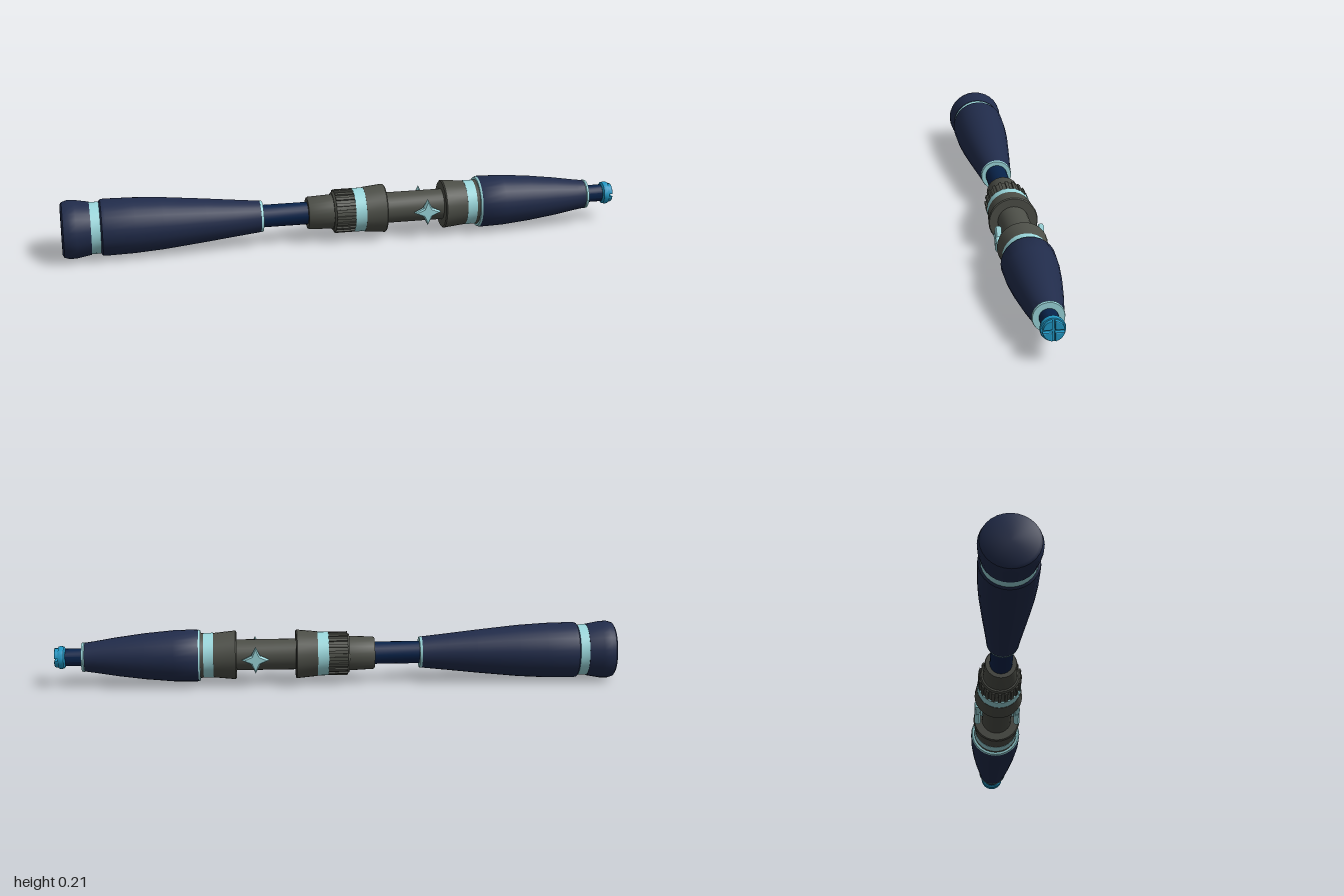
import * as THREE from 'three';
import { toCreasedNormals } from 'three/addons/utils/BufferGeometryUtils.js';

const AXIS_Y = 0.104;

function paint(name, color) {
  const m = new THREE.MeshStandardMaterial({ color });
  m.name = name;
  return m;
}

export function createModel() {
  const navy = paint('navy grip', 0x212c4b);
  const deepBlue = paint('deep blue rod', 0x08234a);
  const grey = paint('grey metal', 0x4d4f48);
  const pale = paint('pale aqua trim', 0x9bd8dd);
  const cyan = paint('bright cyan tip', 0x1f97c4);

  const root = new THREE.Group();
  const shaft = new THREE.Group();
  shaft.name = 'shaft';
  shaft.position.y = AXIS_Y;
  root.add(shaft);

  function add(name, geometry, material, parent = shaft) {
    const mesh = new THREE.Mesh(geometry, material);
    mesh.name = name;
    parent.add(mesh);
    return mesh;
  }

  // Closed body of revolution along x from [x, radius] pairs
  function turned(name, material, profile, segments = 28) {
    const first = profile[0][0];
    const last = profile[profile.length - 1][0];
    const points = [[first, 0], ...profile, [last, 0]].map(([x, r]) => new THREE.Vector2(r, x));
    const g = new THREE.LatheGeometry(points, segments).rotateZ(-Math.PI / 2);
    return add(name, toCreasedNormals(g, 0.6), material);
  }

  // Long handle with pommel
  turned('pommel', navy, [[-1, 0.088], [-0.994, 0.097], [-0.975, 0.103], [-0.95, 0.102], [-0.9, 0.093]]);
  turned('pommelBand', pale, [[-0.9, 0.091], [-0.865, 0.091]]);
  turned('longGrip', navy, [[-0.868, 0.09], [-0.862, 0.098], [-0.85, 0.1], [-0.75, 0.098], [-0.65, 0.092],
    [-0.5, 0.077], [-0.4, 0.066], [-0.305, 0.056]]);
  turned('longGripRing', pale, [[-0.305, 0.057], [-0.296, 0.055]]);

  // Inner rods
  turned('longRod', deepBlue, [[-0.31, 0.04], [-0.13, 0.04]], 20);
  turned('tipRod', deepBlue, [[0.88, 0.031], [0.97, 0.031]], 20);

  // Grey middle coupling
  turned('collar', grey, [[-0.135, 0.055], [-0.13, 0.058], [-0.04, 0.062]]);
  turned('ribbedHub', grey, [[-0.045, 0.068], [-0.038, 0.073], [0.032, 0.073]]);
  turned('hubBand', pale, [[0.03, 0.078], [0.07, 0.079]]);
  turned('hubFlange', grey, [[0.069, 0.08], [0.142, 0.087], [0.146, 0.084]]);
  turned('core', grey, [[0.14, 0.055], [0.37, 0.055]]);
  turned('upperFlange', grey, [[0.357, 0.083], [0.361, 0.087], [0.44, 0.079]]);
  turned('upperBand', pale, [[0.439, 0.08], [0.474, 0.08]]);
  turned('upperCollar', grey, [[0.473, 0.079], [0.486, 0.081]]);

  // Grip ribs around the hub
  const ribs = new THREE.Group();
  ribs.name = 'hubRibs';
  shaft.add(ribs);
  const ribShape = new THREE.BoxGeometry(0.068, 0.01, 0.011);
  for (let i = 0; i < 20; i++) {
    const a = (i / 20) * Math.PI * 2;
    const rib = add('hubRib', ribShape, grey, ribs);
    rib.position.set(-0.004, Math.cos(a) * 0.073, Math.sin(a) * 0.073);
    rib.rotation.x = a;
  }

  // Short handle
  turned('shortGripRing', pale, [[0.485, 0.089], [0.492, 0.092]]);
  turned('shortGrip', navy, [[0.491, 0.09], [0.497, 0.093], [0.58, 0.091], [0.68, 0.082], [0.78, 0.069],
    [0.86, 0.056], [0.894, 0.051]]);
  turned('tipRing', pale, [[0.892, 0.05], [0.896, 0.053], [0.904, 0.051]]);

  // Cross-slotted tip: a rounded knob with four raised quarters
  turned('tipKnob', cyan, [[0.962, 0.033], [0.967, 0.039], [0.978, 0.041], [0.986, 0.039]], 24);
  const quarter = new THREE.Shape();
  const gap = 0.005;
  quarter.moveTo(gap, gap);
  quarter.lineTo(0.033, gap);
  quarter.absarc(0, 0, 0.0335, 0.15, Math.PI / 2 - 0.15, false);
  quarter.lineTo(gap, 0.033);
  quarter.closePath();
  const quarterShape = new THREE.ExtrudeGeometry(quarter, {
    depth: 0.01, bevelEnabled: true, bevelSize: 0.003, bevelOffset: -0.002, bevelThickness: 0.004,
    bevelSegments: 2, curveSegments: 6,
  }).rotateY(Math.PI / 2);
  for (let i = 0; i < 4; i++) {
    const q = add('tipQuarter', quarterShape, cyan);
    q.position.x = 0.986;
    q.rotation.x = (i * Math.PI) / 2;
  }

  // Four-pointed star buttons on both sides
  const star = new THREE.Shape();
  for (let i = 0; i < 8; i++) {
    const a = (i * Math.PI) / 4;
    const r = i % 2 ? 0.019 : 0.043;
    star[i ? 'lineTo' : 'moveTo'](Math.cos(a) * r, Math.sin(a) * r);
  }
  star.closePath();
  const starShape = new THREE.ExtrudeGeometry(star, {
    depth: 0.012, bevelEnabled: true, bevelSize: 0.005, bevelOffset: -0.002, bevelThickness: 0.005, bevelSegments: 1,
  });
  const pinShape = new THREE.CylinderGeometry(0.014, 0.014, 0.02, 16).rotateX(Math.PI / 2);
  for (const side of [0, Math.PI]) {
    const button = new THREE.Group();
    button.name = side ? 'backStar' : 'frontStar';
    button.position.x = 0.29;
    button.rotation.y = side;
    shaft.add(button);
    add('star', starShape, pale, button).position.z = 0.067;
    add('starPin', pinShape, pale, button).position.z = 0.057;
  }

  return root;
}
